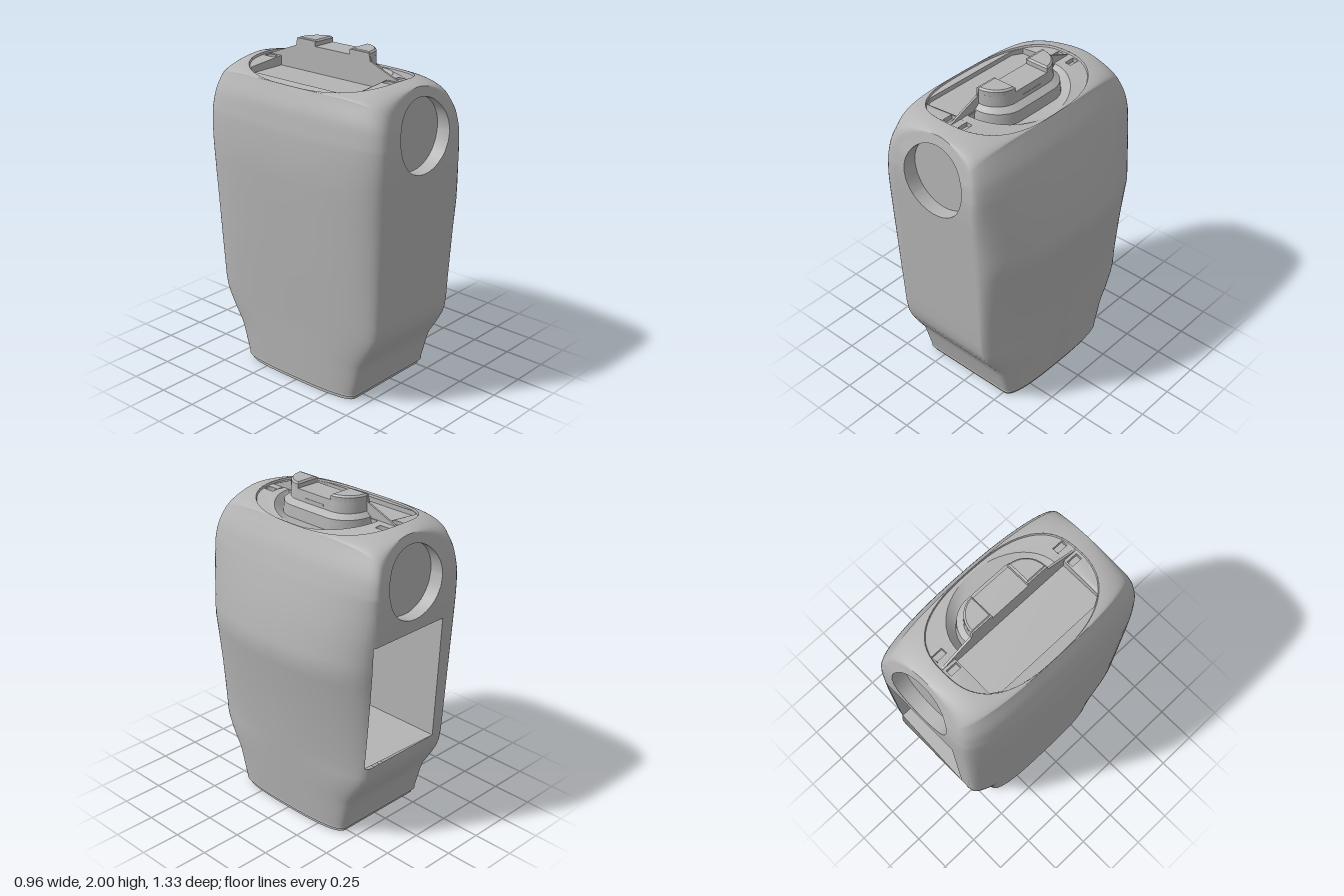
import * as THREE from 'three';

const CX = -0.03, CY = 1.59, R = 0.215;      // round recess in the end panels
const PL = -0.32, PR = 0.26;                 // end panel edges
const WL = -0.27, WR = 0.29, W0 = 0.52, W1 = 1.3; // window edges
const V = (x, y, z) => new THREE.Vector3(x, y, z);

// Linear lookup in a short profile of [height, value]
function look(table, y) {
  for (let i = 1; i < table.length; i++) {
    const [a, va] = table[i - 1], [b, vb] = table[i];
    if (y <= b) return va + (vb - va) * Math.max(0, (y - a) / (b - a));
  }
  return table[table.length - 1][1];
}
const END = [[0.04, 0.43], [0.2, 0.475], [0.25, 0.495], [0.3, 0.53], [0.36, 0.565], [0.4, 0.587],
  [0.45, 0.605], [0.52, 0.615], [1.3, 0.655], [1.48, 0.664], [1.57, 0.662], [1.67, 0.649], [1.86, 0.598]];
const LEFT = [[0.04, 0.4], [0.4, 0.42], [0.8, 0.45], [1.2, 0.475], [1.4, 0.485], [1.57, 0.478], [1.72, 0.455], [1.835, 0.41]];
const RIGHT = [[0.04, 0.345], [0.4, 0.385], [0.8, 0.43], [1, 0.46], [1.13, 0.48], [1.2, 0.472], [1.4, 0.43], [1.57, 0.38], [1.7, 0.335], [1.835, 0.27]];
const ROUND = [[0.04, 2.8], [0.3, 2.4], [0.52, 1.8], [1.13, 2.1], [1.57, 2.1]];
const ROWS = [0.04, 0.12, 0.2, 0.24, 0.28, 0.32, 0.36, 0.4, 0.45, 0.52, 0.65, 0.8, 0.95, 1.06, 1.13, 1.2, 1.3, 1.38, 1.48, 1.57];
const endZ = y => look(END, y);
const rimY = x => 1.835 + 0.045 * (1 - ((x + 0.07) / 0.34) ** 2);
const lidY = x => rimY(x) - 0.012;

// Surface through rows of points
function grid(rows, skip = () => false) {
  const w = rows[0].length, index = [];
  for (let j = 0; j < rows.length - 1; j++)
    for (let i = 0; i < w - 1; i++) {
      if (skip(j, i)) continue;
      const a = j * w + i, b = a + 1, c = a + w, d = c + 1;
      index.push(a, c, b, b, c, d);
    }
  const g = new THREE.BufferGeometry().setFromPoints(rows.flat());
  g.setIndex(index);
  g.computeVertexNormals();
  return g;
}

// Horizontal plate from [x, z] outlines, with its height given by a rule
const shapeOf = pts => new THREE.Shape(pts.map(p => new THREE.Vector2(p[0], p[1])));
function plate(outline, holes, height) {
  const s = shapeOf(outline);
  s.holes = holes.map(shapeOf);
  const g = new THREE.ShapeGeometry(s), p = g.attributes.position;
  for (let i = 0; i < p.count; i++) p.setXYZ(i, p.getX(i), height(p.getX(i), p.getY(i)), p.getY(i));
  g.computeVertexNormals();
  return g;
}

// Opening in the top, from angle a (0 at +x, PI at -x)
function rim(a) {
  const c = Math.cos(a), s = Math.sin(a), e = 2 / 2.6;
  const x = -0.07 + 0.34 * Math.sign(c) * Math.abs(c) ** e;
  return V(x, rimY(x), 0.5 * Math.sign(s) * Math.abs(s) ** e);
}

// Stations around the end panel: edge point F, and where the skin ends, E
function makeStations() {
  const list = [];
  for (const y of ROWS) list.push({ F: [PL, y], E: V(-look(LEFT, y), y, 0), n: 3, y });
  const N = 48, lo = 8, hi = 9;
  for (let k = 1; k < N; k++) {
    const t = Math.PI * (1 - k / N);
    const F = [CX + 0.29 * Math.cos(t), 1.57 + 0.29 * Math.sin(t)];
    let E;
    if (k <= lo) { const y = 1.57 + 0.265 * k / lo; E = V(-look(LEFT, y), y, 0); }
    else if (k >= N - hi) { const y = 1.57 + 0.265 * (N - k) / hi; E = V(look(RIGHT, y), y, 0); }
    else E = rim(Math.PI * (1 - (k - lo) / (N - hi - lo)));
    list.push({ F, E, n: 3 - 0.9 * k / N - 1.3 * Math.sin(t) ** 4, y: F[1] });
  }
  for (const y of [...ROWS].reverse())
    list.push({ F: [PR, y], E: V(look(RIGHT, y), y, 0), n: look(ROUND, y), y, right: true });
  return list;
}
// Rounded curve from F to E; on the right, column CUT falls on the window edge
const SEG = 16, CUT = 2;
function sweep({ F, E, n, right }, s) {
  const z0 = endZ(F[1]), out = [];
  const cut = right ? Math.asin(((WR - PR) / (E.x - PR)) ** (n / 2)) : CUT / SEG * Math.PI / 2;
  for (let i = 0; i <= SEG; i++) {
    const a = i <= CUT ? cut * i / CUT : cut + (Math.PI / 2 - cut) * (i - CUT) / (SEG - CUT);
    const u = Math.sin(a) ** (2 / n), w = i === SEG ? 0 : Math.cos(a) ** (2 / n);
    out.push(V(F[0] + (E.x - F[0]) * u, F[1] + (E.y - F[1]) * u, s * (E.z + (z0 - E.z) * w)));
  }
  return out;
}

export function createModel() {
  const model = new THREE.Group();
  const grey = new THREE.MeshStandardMaterial({ color: 0xb4b4b4, side: THREE.DoubleSide });
  grey.name = 'plain grey';
  const add = (name, geometry) => {
    const m = new THREE.Mesh(geometry, grey);
    m.name = name;
    model.add(m);
    return m;
  };
  const stations = makeStations();
  const inWindow = st => st.right && st.y >= W0 && st.y <= W1;

  for (const s of [1, -1]) {
    const side = s > 0 ? 'front' : 'back';
    // Rounded skin, cut back at the window's side
    add(side + 'Shell', grid(stations.map(st => sweep(st, s)), (j, i) =>
      s < 0 && i < CUT && inWindow(stations[j]) && inWindow(stations[j + 1])));

    // Lower end panel, with the window left open at the back
    const rows = ROWS.filter(y => y <= W1);
    add(side + 'Panel', grid(rows.map(y => [PL, WL, PR].map(x => V(x, y, s * endZ(y)))),
      (j, i) => s < 0 && i === 1 && rows[j] >= W0));

    // Arched panel around the round recess
    const outline = stations.filter(st => st.y >= W1).map(st => st.F);
    for (let k = 1; k <= 12; k++) outline.push([PR + (PL - PR) * k / 12, W1]);
    const circle = outline.map(([x, y]) => {
      const a = Math.atan2(y - CY, x - CX);
      return [CX + R * Math.cos(a), CY + R * Math.sin(a)];
    });
    const rings = [];
    for (let r = 0; r <= 5; r++)
      rings.push(outline.map(([x, y], i) => {
        const px = x + (circle[i][0] - x) * r / 5, py = y + (circle[i][1] - y) * r / 5;
        return V(px, py, s * endZ(py));
      }));
    add(side + 'Arch', grid(rings));
    add(side + 'RecessWall', grid([rings[5], circle.map(([x, y]) => V(x, y, s * 0.575))]));
    const floor = add(side + 'RecessFloor', new THREE.CircleGeometry(R, 48));
    floor.position.set(CX, CY, s * 0.575);
    if (s < 0) floor.rotation.y = Math.PI;
  }

  // Deep compartment behind the window: four walls and the far end
  const corners = [[WL, W0], [WR, W0], [WR, W1], [WL, W1]];
  const mouth = ([x, y]) => x < 0 ? V(x, y, -endZ(y)) : sweep(stations.find(st => st.right && st.y === y), -1)[CUT];
  corners.forEach((c, i) => {
    const e = [c, corners[(i + 1) % 4]];
    add('compartmentWall', grid([e.map(mouth), e.map(p => V(p[0], p[1], 0.4))]));
  });
  add('compartmentEnd', new THREE.PlaneGeometry(WR - WL, W1 - W0).translate((WL + WR) / 2, (W0 + W1) / 2, 0.4));

  // Lid, set just below its rim, with openings for tray, finger dish and slots
  const rimLoop = [...Array(65).keys()].map(k => rim(k / 64 * Math.PI * 2));
  const lidLoop = rimLoop.map(p => {
    const x = -0.07 + (p.x + 0.07) * 0.99;
    return V(x, lidY(x), p.z * 0.99);
  });
  add('lidLip', grid([rimLoop, lidLoop]));
  const tray = [[-0.05, -0.4], [-0.31, -0.4], [-0.345, -0.34], [-0.345, 0.34], [-0.31, 0.4], [-0.05, 0.4]];
  const arc = [...Array(25).keys()].map(k => -Math.PI / 2 + k / 24 * Math.PI);
  const dish = arc.map(a => [-0.035 + 0.288 * Math.cos(a), 0.36 * Math.sin(a)]);
  const slots = [];
  for (const x of [-0.11, 0])
    for (const z of [-0.48, 0.41]) slots.push([[x, z], [x + 0.04, z], [x + 0.04, z + 0.07], [x, z + 0.07]]);
  add('lid', plate(lidLoop.slice(0, -1).map(p => [p.x, p.z]), [tray, dish, ...slots], lidY));
  for (const s of slots) {
    const loop = [...s, s[0]];
    add('slotWall', grid([loop.map(p => V(p[0], lidY(p[0]), p[1])), loop.map(p => V(p[0], 1.84, p[1]))]));
    add('slotFloor', plate(s, [], () => 1.84));
  }

  // Shallow tray
  const TRAY = 1.81;
  add('trayFloor', plate(tray, [], () => TRAY));
  for (let i = 0; i < tray.length - 1; i++) {
    const e = [tray[i], tray[i + 1]];
    add('trayWall', grid([e.map(p => V(p[0], lidY(p[0]), p[1])), e.map(p => V(p[0], TRAY, p[1]))]));
  }

  // Finger dish, and the handle on its wider plinth
  const foot = (x1, z1, r, y) => arc.map((a, i) =>
    V(i === 0 || i === 24 ? -0.045 : x1 - r + r * Math.cos(a), y, Math.sign(i - 12) * (z1 - r) + r * Math.sin(a)));
  const plinth = foot(0.15, 0.31, 0.18, 1.805), shoulder = foot(0.145, 0.3, 0.17, 1.875);
  const neck = foot(0.105, 0.27, 0.14, 1.9), crown = foot(0.1, 0.27, 0.14, 1.965);
  add('fingerDish', grid([dish.map(p => V(p[0], lidY(p[0]), p[1])), plinth]));
  add('handlePlinth', grid([plinth, shoulder]));
  add('handleShoulder', grid([shoulder, neck]));
  add('handleSide', grid([neck, crown]));
  add('handleTop', plate(crown.map(p => [p.x, p.z]), [], () => 1.965));
  const quarter = [...Array(9).keys()].map(k => k / 8 * Math.PI / 2);
  for (const s of [1, -1]) {
    const pts = [[-0.05, 0.13], ...quarter.map(a => [-0.04 + 0.14 * Math.cos(a), 0.13 + 0.14 * Math.sin(a)]), [-0.05, 0.27]];
    const g = new THREE.ExtrudeGeometry(shapeOf(pts.map(p => [p[0], p[1] * s])),
      { depth: 0.03, bevelThickness: 0.01, bevelSize: 0.01, bevelOffset: -0.01, bevelSegments: 1 });
    add('handleEnd', g.rotateX(Math.PI / 2).translate(0, 1.99, 0));
  }
  add('handleSlot', new THREE.BoxGeometry(0.008, 0.025, 0.15).translate(0.101, 1.912, 0));

  // Upright fin between the tray and the handle
  const half = [[0.4, TRAY], [0.42, 1.86], [0.49, 1.868], [0.28, 1.95], [0.27, 1.995], [0.13, 1.995], [0.13, 1.965]];
  const fin = shapeOf([...half, ...half.map(p => [-p[0], p[1]]).reverse()]);
  add('fin', new THREE.ExtrudeGeometry(fin, { depth: 0.012, bevelEnabled: false }).rotateY(-Math.PI / 2).translate(-0.042, 0, 0));

  // Open base rim: a narrow foot under a thin lip
  const l = stations[0], r = stations[stations.length - 1];
  const loop = [...sweep(l, 1), ...sweep(l, -1).reverse().slice(1), ...sweep(r, -1), ...sweep(r, 1).reverse().slice(1)];
  const scaled = k => shapeOf(loop.map(p => [CX + (p.x - CX) * k, p.z * k]));
  for (const [name, k, top, depth] of [['baseFoot', 0.965, 0.03, 0.03], ['baseLip', 1, 0.045, 0.02]]) {
    const ring = scaled(k);
    ring.holes.push(scaled(0.92));
    add(name, new THREE.ExtrudeGeometry(ring, { depth, bevelEnabled: false }).rotateX(Math.PI / 2).translate(0, top, 0));
  }

  // Fittings inside the base
  add('baseRod', new THREE.CylinderGeometry(0.025, 0.025, 0.28, 16).rotateX(Math.PI / 2).translate(0.2, 0.07, 0.2));
  add('baseBlock', new THREE.BoxGeometry(0.16, 0.1, 0.3).translate(0.18, 0.2, 0.2));
  return model;
}
